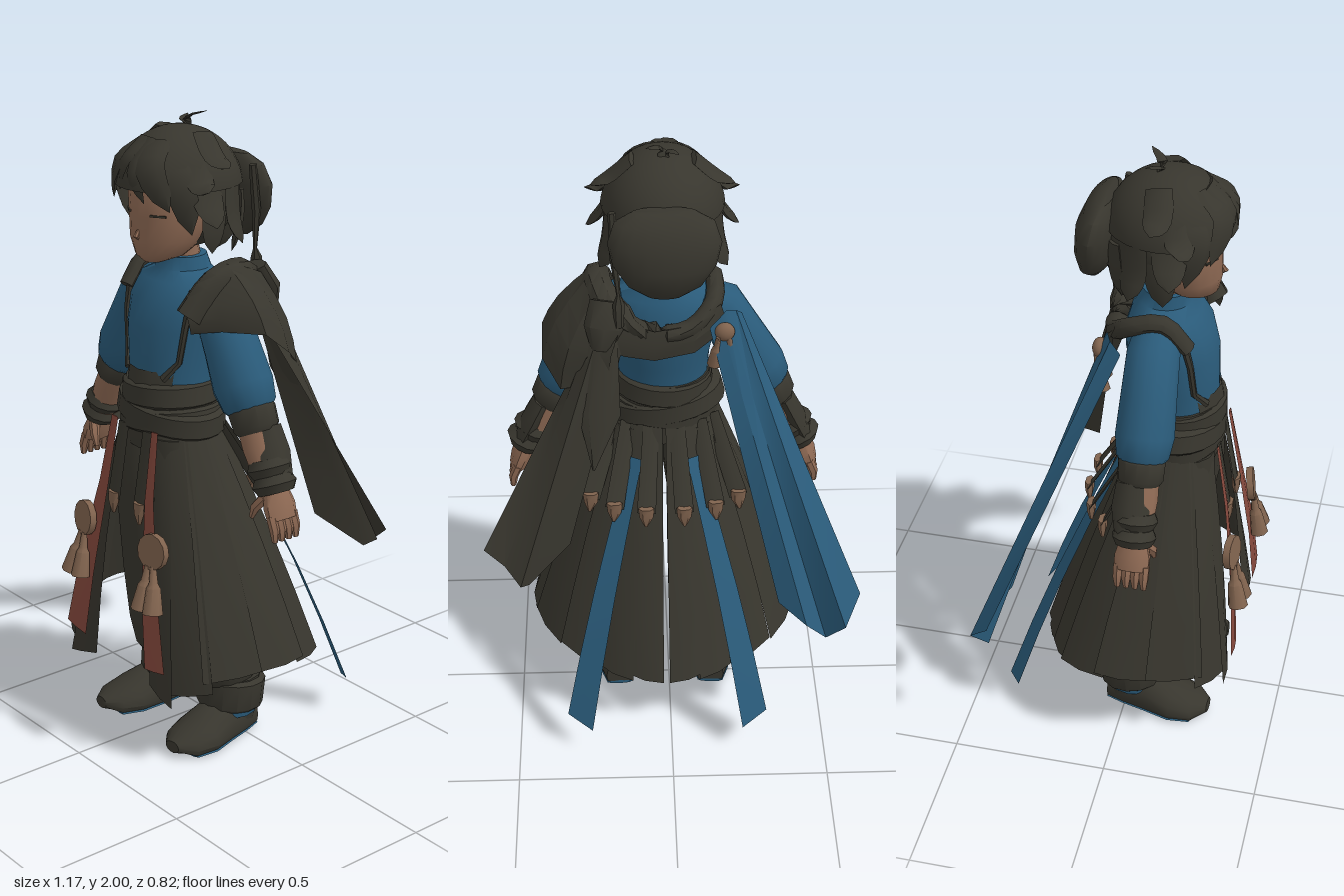
import * as THREE from 'three';
import { toCreasedNormals } from 'three/addons/utils/BufferGeometryUtils.js';

const material = (name, color, side = THREE.FrontSide) => {
  const m = new THREE.MeshStandardMaterial({ color, side });
  m.name = name;
  return m;
};
const V = (p) => new THREE.Vector3(...p);

export function createModel() {
  const root = new THREE.Group();
  root.name = 'wanderer';
  const body = new THREE.Group();
  body.name = 'body';
  body.position.x = 0.015;
  root.add(body);

  const dark = material('charcoal', 0x38362e, THREE.DoubleSide);
  const blue = material('blue cloth', 0x2a5b7a, THREE.DoubleSide);
  const red = material('red cloth', 0x86493d, THREE.DoubleSide);
  const skin = material('skin', 0x8f6a54);
  const tan = material('tan ornament', 0x80634e);

  const add = (name, geo, mat, parent = body) => {
    const m = new THREE.Mesh(geo, mat);
    m.name = name;
    parent.add(m);
    return m;
  };
  const surface = (pos, idx, crease) => {
    const g = new THREE.BufferGeometry();
    g.setAttribute('position', new THREE.Float32BufferAttribute(pos, 3));
    g.setIndex(idx);
    return toCreasedNormals(g, crease);
  };

  // Elliptical tube through sections [x, y, z, radiusSide, radiusDepth], optionally flattened at a floor height
  function limb(name, sections, mat, { segs = 12, ref = [0, 0, 1], level = false, floor = -1 } = {}) {
    const pts = sections.map(V), pos = [], idx = [], n = sections.length;
    sections.forEach(([, , , a, b = a], i) => {
      const t = level ? new THREE.Vector3(0, Math.sign(pts[n - 1].y - pts[0].y), 0)
        : pts[Math.min(i + 1, n - 1)].clone().sub(pts[Math.max(i - 1, 0)]).normalize();
      const s = V(ref).cross(t).normalize(), d = t.clone().cross(s);
      for (let j = 0; j < segs; j++) {
        const q = (j / segs) * Math.PI * 2;
        const p = pts[i].clone().addScaledVector(s, a * Math.cos(q)).addScaledVector(d, b * Math.sin(q));
        pos.push(p.x, Math.max(p.y, floor), p.z);
      }
    });
    pos.push(...pts[0].toArray(), ...pts[n - 1].toArray());
    for (let j = 0; j < segs; j++) {
      const k = (j + 1) % segs, e = (n - 1) * segs;
      for (let i = 0; i < n - 1; i++) {
        const a = i * segs + j, b = i * segs + k;
        idx.push(a, b, b + segs, a, b + segs, a + segs);
      }
      idx.push(n * segs, k, j, n * segs + 1, e + j, e + k);
    }
    return add(name, surface(pos, idx, 0.8), mat);
  }

  // Cloth hanging between an upper and a lower edge, bowed and pleated
  function drape(name, tops, bots, mat, { rows = 4, bow = 0, fold = 0, parent = body } = {}) {
    const pos = [], idx = [], n = tops.length;
    for (let r = 0; r <= rows; r++) {
      const t = r / rows;
      for (let i = 0; i < n; i++) {
        const p = V(tops[i]).lerp(V(bots[i]), t);
        const out = new THREE.Vector3(p.x, 0, p.z - 0.1).normalize();
        p.addScaledVector(out, bow * Math.sin(Math.PI * t) + (i % 2 ? fold * t : 0));
        pos.push(p.x, p.y, p.z);
        if (r < rows && i < n - 1) {
          const a = r * n + i;
          idx.push(a, a + n, a + n + 1, a, a + n + 1, a + 1);
        }
      }
    }
    return add(name, surface(pos, idx, 0.5), mat, parent);
  }

  const ball = (name, [x, y, z], [a, b, c], mat, ...arc) => {
    const m = add(name, new THREE.SphereGeometry(1, 24, 16, ...arc), mat);
    m.position.set(x, y, z);
    m.scale.set(a, b, c);
    return m;
  };

  // Head and face
  limb('head', [[0, 1.56, 0.195, 0.03, 0.03], [0, 1.58, 0.17, 0.075, 0.075], [0, 1.63, 0.14, 0.114, 0.115],
    [0, 1.7, 0.125, 0.13, 0.128], [0, 1.78, 0.12, 0.132, 0.138], [0, 1.88, 0.11, 0.1, 0.1]], skin, { segs: 20, level: true });
  limb('nose', [[0, 1.665, 0.248, 0.004], [0, 1.642, 0.262, 0.009], [0, 1.633, 0.25, 0.004]], skin, { segs: 6 });
  limb('neck', [[0, 1.5, 0.08, 0.06], [0, 1.62, 0.1, 0.055]], skin);
  for (const s of [-1, 1]) {
    const eye = add('closedEye', new THREE.BoxGeometry(0.05, 0.006, 0.006), dark);
    eye.position.set(s * 0.07, 1.71, 0.233);
    eye.rotation.y = s * 0.55;
  }

  // Hair: crown, back shell and the full mass behind
  ball('hairCrown', [0, 1.77, 0.1], [0.185, 0.187, 0.196], dark, 0, Math.PI * 2, 0, Math.PI * 0.47);
  ball('hairBack', [0, 1.77, 0.1], [0.174, 0.185, 0.187], dark, Math.PI * 0.95, Math.PI * 1.1, 0, Math.PI * 0.84);
  limb('hairMass', [[0, 1.6, -0.125, 0.05, 0.02], [0, 1.64, -0.125, 0.11, 0.05], [0, 1.7, -0.12, 0.15, 0.063],
    [0, 1.77, -0.112, 0.165, 0.065], [0, 1.83, -0.1, 0.145, 0.05], [0, 1.86, -0.09, 0.09, 0.025]], dark, { segs: 20, level: true });
  // Flat lock lying on the head, tapering to its tip
  const lock = (from, mid, tip, w, name = 'hairLock') => {
    const curve = new THREE.CatmullRomCurve3([from, mid, tip].map(V));
    const rows = curve.getPoints(6).map((p, i) => {
      const u = i / 6, r = Math.max(0.001, w * (0.7 + 0.9 * u) * (1 - u) ** 0.6);
      return [p.x, p.y, p.z, r, r * 0.28];
    });
    limb(name, rows, dark, { segs: 6, ref: [mid[0], mid[1] - 1.77, mid[2] - 0.1] });
  };
  for (const s of [-1, 1]) {
    lock([s * 0.03, 1.92, 0.2], [s * 0.075, 1.855, 0.265], [s * 0.135, 1.735, 0.24], 0.062, 'fringeLock');
    lock([s * 0.09, 1.9, 0.17], [s * 0.145, 1.81, 0.205], [s * 0.15, 1.66, 0.17], 0.062, 'fringeLock');
    lock([s * 0.13, 1.88, 0.14], [s * 0.18, 1.81, 0.16], [s * 0.232, 1.8, 0.17], 0.055);
    lock([s * 0.14, 1.84, 0.12], [s * 0.178, 1.75, 0.13], [s * 0.23, 1.69, 0.14], 0.065);
    lock([s * 0.15, 1.8, 0.08], [s * 0.165, 1.69, 0.1], [s * 0.17, 1.6, 0.11], 0.062);
    lock([s * 0.15, 1.8, 0.02], [s * 0.16, 1.69, 0.02], [s * 0.19, 1.62, 0.01], 0.065);
    lock([s * 0.1, 1.76, -0.05], [s * 0.11, 1.66, -0.04], [s * 0.09, 1.57, -0.03], 0.065);
    lock([s * 0.09, 1.94, 0.08], [s * 0.16, 1.875, 0.09], [s * 0.212, 1.855, 0.08], 0.055);
  }
  lock([0.01, 1.93, 0.21], [0.02, 1.84, 0.287], [0.05, 1.75, 0.268], 0.03, 'centreFringe');
  lock([-0.02, 1.93, 0.21], [-0.03, 1.86, 0.28], [-0.075, 1.77, 0.262], 0.04, 'centreFringe');
  lock([0, 1.7, -0.09], [0, 1.63, -0.07], [0, 1.56, -0.04], 0.08, 'napeLock');
  lock([0, 1.94, 0.06], [0.005, 1.975, 0.07], [0.05, 1.995, 0.03], 0.02, 'cowlick');
  lock([0, 1.94, 0.06], [-0.015, 1.965, 0.07], [-0.045, 1.975, 0.03], 0.018, 'cowlick');
  limb('hairBraid', [[0.15, 1.84, -0.06, 0.012], [0.145, 1.7, -0.08, 0.014], [0.135, 1.58, -0.085, 0.006],
    [0.135, 1.55, -0.09, 0.018], [0.135, 1.48, -0.1, 0.014]], dark, { segs: 6 });

  // Shirt with a standing collar
  limb('shirt', [[0, 1.15, 0.13, 0.14, 0.125], [0, 1.25, 0.125, 0.145, 0.13], [0, 1.36, 0.11, 0.163, 0.142],
    [0, 1.44, 0.1, 0.17, 0.132], [0, 1.5, 0.09, 0.15, 0.105], [0, 1.53, 0.085, 0.085, 0.085], [0, 1.57, 0.09, 0.076, 0.076]],
  blue, { segs: 24, level: true });

  // Sash wrapped round the waist
  limb('waist', [[0, 0.98, 0.125, 0.17, 0.135], [0, 1.08, 0.13, 0.165, 0.14], [0, 1.19, 0.13, 0.148, 0.136]], dark, { segs: 24, level: true });
  [[1.155, 0.16, 0.05], [1.09, 0.195, -0.13], [1.075, 0.18, 0.1]].forEach(([y, r, tilt]) => {
    const m = limb('sashWrap', [[0, -0.038, 0, r - 0.01, 0.137], [0, -0.028, 0, r, 0.149], [0, 0.028, 0, r - 0.006, 0.147],
      [0, 0.038, 0, r - 0.02, 0.135]], dark, { segs: 24, level: true });
    m.position.set(0, y, 0.132);
    m.rotation.z = tilt;
  });

  // Bib straps
  for (const s of [-1, 1])
    limb('frontStrap', [[s * 0.15, 1.49, 0.165, 0.018, 0.012], [s * 0.142, 1.38, 0.19, 0.012, 0.01], [s * 0.125, 1.27, 0.2, 0.01, 0.01],
      [s * 0.085, 1.215, 0.232, 0.014, 0.01]], dark, { segs: 6 });
  const bibEdge = (y, z) => [-0.11, -0.055, 0, 0.055, 0.11].map((x) => [x, y, z - x * x * 4.5]);
  drape('bibBand', bibEdge(1.235, 0.262), bibEdge(1.185, 0.272), dark, { rows: 1 });

  // Scarf over both shoulders, with a broad band across the back
  const scarf = new THREE.CatmullRomCurve3([[-0.15, 1.45, 0.185], [-0.155, 1.53, 0.11], [-0.15, 1.5, 0], [-0.08, 1.44, -0.05],
    [0.03, 1.43, -0.06], [0.13, 1.48, -0.05], [0.19, 1.535, 0.02], [0.2, 1.52, 0.12], [0.18, 1.42, 0.2]].map(V));
  limb('scarf', scarf.getPoints(24).map((p, i) => [p.x, p.y, p.z, 0.022 + i * 0.0012, 0.028 + (i > 14 ? 0.018 : 0)]), dark,
    { segs: 8, ref: [1, 0.2, 0] });
  drape('scarfBackBand', [[-0.17, 1.51, -0.03], [-0.08, 1.46, -0.07], [0.03, 1.45, -0.085], [0.12, 1.48, -0.08], [0.2, 1.52, -0.05]],
    [[-0.18, 1.43, -0.05], [-0.09, 1.37, -0.08], [0.03, 1.35, -0.09], [0.12, 1.37, -0.095], [0.21, 1.4, -0.08]], dark, { rows: 2, bow: 0.01 });
  drape('shoulderFlap', [[0.17, 1.47, 0.21], [0.2, 1.55, 0.15], [0.23, 1.575, 0.09], [0.25, 1.56, 0.03], [0.23, 1.53, -0.04], [0.14, 1.48, -0.09]],
    [[0.215, 1.38, 0.215], [0.28, 1.39, 0.15], [0.385, 1.39, 0.07], [0.385, 1.32, -0.02], [0.33, 1.26, -0.1], [0.18, 1.3, -0.12]], dark,
    { bow: 0.025, parent: root });
  limb('scarfKnot', [[0.17, 1.54, -0.05, 0.05, 0.03], [0.18, 1.47, -0.085, 0.06, 0.04], [0.19, 1.4, -0.1, 0.03, 0.02]], dark, { segs: 8 });
  limb('scarfTail', [[0.18, 1.44, -0.09, 0.04, 0.012], [0.2, 1.2, -0.15, 0.065, 0.015], [0.22, 1.03, -0.205, 0.004, 0.004]], dark, { segs: 6 });

  // Long capes trailing from each shoulder
  drape('darkCape', [[0.27, 1.34, -0.05], [0.25, 1.4, -0.08], [0.22, 1.43, -0.1], [0.18, 1.43, -0.1], [0.14, 1.4, -0.09]],
    [[0.583, 0.76, -0.25], [0.52, 0.71, -0.27], [0.47, 0.67, -0.325], [0.445, 0.65, -0.29], [0.315, 0.74, -0.2]], dark, { parent: root });
  drape('blueCape', [[-0.22, 1.46, 0.0], [-0.2, 1.49, -0.035], [-0.17, 1.5, -0.05], [-0.15, 1.48, -0.06], [-0.12, 1.45, -0.07]],
    [[-0.588, 0.63, -0.34], [-0.54, 0.55, -0.41], [-0.485, 0.475, -0.37], [-0.42, 0.54, -0.385], [-0.335, 0.59, -0.33]], blue, { parent: root });

  const tassel = (x, y, z, h, r, dx = 0) =>
    limb('tassel', [[x, y, z, r * 0.3], [x + dx * 0.4, y - h * 0.35, z + 0.008, r * 0.45], [x + dx * 0.5, y - h * 0.45, z + 0.01, r * 0.7],
      [x + dx, y - h, z + 0.025, r]], tan, { segs: 8 });
  ball('shoulderClasp', [-0.18, 1.44, -0.075], [0.03, 0.03, 0.022], tan);
  tassel(-0.19, 1.43, -0.085, 0.12, 0.024, -0.02);
  tassel(-0.16, 1.43, -0.09, 0.11, 0.022, 0.01);

  // Skirt panels, lower edges listed from the front opening to the back slit
  const hems = [
    [[0.14, 0.25, 0.335], [0.265, 0.22, 0.345]], [[0.22, 0.25, 0.345], [0.375, 0.29, 0.27]],
    [[0.35, 0.32, 0.29], [0.43, 0.34, 0.08]], [[0.425, 0.34, 0.12], [0.425, 0.34, -0.05]],
    [[0.43, 0.33, -0.02], [0.345, 0.3, -0.18]], [[0.345, 0.28, -0.15], [0.21, 0.25, -0.24]],
    [[0.23, 0.24, -0.21], [0.11, 0.22, -0.28]], [[0.13, 0.24, -0.265], [0.01, 0.22, -0.295]]];
  const waistPoint = ([x, , z]) => {
    const q = Math.atan2(z - 0.08, x);
    return [0.168 * Math.cos(q), 1.06, 0.13 + 0.138 * Math.sin(q)];
  };
  for (const s of [-1, 1]) {
    const flip = ([x, y, z]) => [s * x, y, z];
    hems.forEach(([a, b], i) => {
      const edge = [a, a.map((v, k) => (v + b[k]) / 2), b];
      drape('skirtPanel' + (i + 1), edge.map((p) => flip(waistPoint(p))), edge.map(flip), dark, { bow: 0.012, fold: 0.012 });
    });

    // Red front ribbon with a medallion and tassels
    limb('redRibbon', [[s * 0.1, 1.06, 0.275, 0.016, 0.004], [s * 0.115, 0.85, 0.31, 0.022, 0.004],
      [s * 0.165, 0.55, 0.35, 0.04, 0.004], [s * 0.205, 0.33, 0.365, 0.05, 0.004]], red, { segs: 4 });
    const disc = add('medallion', new THREE.CylinderGeometry(0.056, 0.056, 0.022, 12), tan);
    disc.position.set(s * 0.175, 0.715, 0.342);
    disc.rotation.set(Math.PI / 2 - 0.12, 0, -s * 0.15);
    tassel(s * 0.185, 0.67, 0.35, 0.14, 0.032, s * 0.028);
    tassel(s * 0.165, 0.67, 0.355, 0.14, 0.03, -s * 0.008);

    // Short tabs ending in clips, front and back
    for (const [x0, z0, x1, z1] of [[0.06, 0.27, 0.065, 0.31], [0.04, 0.0, 0.06, -0.145], [0.11, 0.025, 0.16, -0.115], [0.15, 0.06, 0.235, -0.06]]) {
      limb('hangingTab', [[s * x0, 1.05, z0, 0.025, 0.006], [s * x1, 0.81, z1, 0.03, 0.006]], dark, { segs: 4 });
      limb('tabClip', [[s * x1, 0.83, z1, 0.025, 0.014], [s * x1, 0.795, z1, 0.022, 0.014], [s * x1 * 1.02, 0.76, z1, 0.006, 0.006]], tan, { segs: 6 });
    }

    // Blue streamer behind
    drape('blueStreamer', [[s * 0.07, 0.95, -0.05], [s * 0.11, 0.95, -0.03]], [[s * 0.245, 0.1, -0.385], [s * 0.325, 0.13, -0.335]], blue, { bow: 0.02 });

    // Baggy trousers
    limb('trouserLeg', [[s * 0.14, 0.17, 0.03, 0.08, 0.085], [s * 0.137, 0.22, 0.035, 0.105, 0.12], [s * 0.135, 0.32, 0.04, 0.12, 0.14],
      [s * 0.132, 0.5, 0.06, 0.12, 0.145], [s * 0.122, 0.75, 0.09, 0.112, 0.145], [s * 0.09, 0.9, 0.12, 0.1, 0.145],
      [s * 0.08, 1.03, 0.13, 0.09, 0.13]], dark, { segs: 16, level: true });

    // Boots: shaft, folded cuff, foot, blue lining and sole
    limb('bootShaft', [[s * 0.16, 0.03, 0.0, 0.058, 0.06], [s * 0.158, 0.12, 0.015, 0.075, 0.085], [s * 0.15, 0.2, 0.01, 0.09, 0.1]], dark, { level: true });
    limb('bootLining', [[s * 0.157, 0.075, 0.02, 0.082, 0.085], [s * 0.152, 0.115, 0.015, 0.092, 0.092]], blue, { level: true });
    const cuff = limb('bootCuff', [[0, -0.055, 0, 0.096, 0.1], [0, -0.045, 0, 0.106, 0.11], [0, 0.04, 0, 0.108, 0.112], [0, 0.05, 0, 0.095, 0.1]], dark, { segs: 14, level: true });
    cuff.position.set(s * 0.147, 0.145, 0.012);
    cuff.rotation.set(-0.1, 0, 0);
    const footSections = [[s * 0.155, 0.035, -0.06, 0.045, 0.06], [s * 0.158, 0.035, 0.0, 0.064, 0.09], [s * 0.165, 0.035, 0.08, 0.078, 0.1],
      [s * 0.178, 0.03, 0.17, 0.092, 0.068], [s * 0.187, 0.03, 0.24, 0.075, 0.045], [s * 0.19, 0.035, 0.285, 0.03, 0.018]];
    limb('bootFoot', footSections, dark, { ref: [0, 1, 0], floor: 0.012, segs: 14 });
    limb('bootSole', footSections.slice(0, 5).map(([x, , z, r]) => [x, 0.007, z, r * 0.94, 0.007]), blue, { ref: [0, 1, 0], segs: 8 });

    // Arm: puffed sleeve, bracers, forearm and hand
    limb('sleeve', [[s * 0.11, 1.47, 0.085, 0.06, 0.07], [s * 0.17, 1.44, 0.085, 0.078, 0.08], [s * 0.235, 1.32, 0.085, 0.085, 0.085],
      [s * 0.285, 1.22, 0.085, 0.096, 0.09], [s * 0.315, 1.165, 0.085, 0.085, 0.08], [s * 0.33, 1.13, 0.085, 0.05, 0.05]], blue, { segs: 16 });
    limb('forearm', [[s * 0.32, 1.16, 0.085, 0.056, 0.055], [s * 0.375, 1.05, 0.085, 0.056, 0.06], [s * 0.435, 0.92, 0.085, 0.038, 0.045]], skin);
    limb('elbowBand', [[s * 0.318, 1.17, 0.085, 0.062, 0.062], [s * 0.325, 1.155, 0.085, 0.074, 0.072], [s * 0.348, 1.105, 0.085, 0.07, 0.07],
      [s * 0.355, 1.09, 0.085, 0.058, 0.06]], dark);
    limb('bracerPlate', [[s * 0.38, 1.11, 0.07, 0.03, 0.05], [s * 0.415, 1.04, 0.07, 0.032, 0.058], [s * 0.45, 0.96, 0.08, 0.03, 0.05]], dark, { segs: 8 });
    for (const [x, y] of [[0.408, 0.995], [0.432, 0.95]])
      limb('wristBand', [[s * (x - 0.01), y + 0.024, 0.085, 0.052, 0.056], [s * x, y, 0.085, 0.07, 0.068], [s * (x + 0.01), y - 0.024, 0.085, 0.052, 0.056]], dark);
    limb('palm', [[s * 0.435, 0.94, 0.085, 0.03, 0.042], [s * 0.455, 0.89, 0.085, 0.034, 0.056], [s * 0.47, 0.85, 0.085, 0.026, 0.054]], skin, { segs: 10 });
    for (let i = 0; i < 4; i++) {
      const z = 0.045 + i * 0.027;
      limb('finger', [[s * 0.467, 0.865, z, 0.016], [s * 0.483, 0.825, z, 0.015], [s * 0.485, 0.79, z, 0.009]], skin, { segs: 6 });
    }
    limb('thumb', [[s * 0.43, 0.915, 0.12, 0.018], [s * 0.405, 0.88, 0.135, 0.016], [s * 0.392, 0.845, 0.138, 0.008]], skin, { segs: 6 });
  }
  return root;
}
